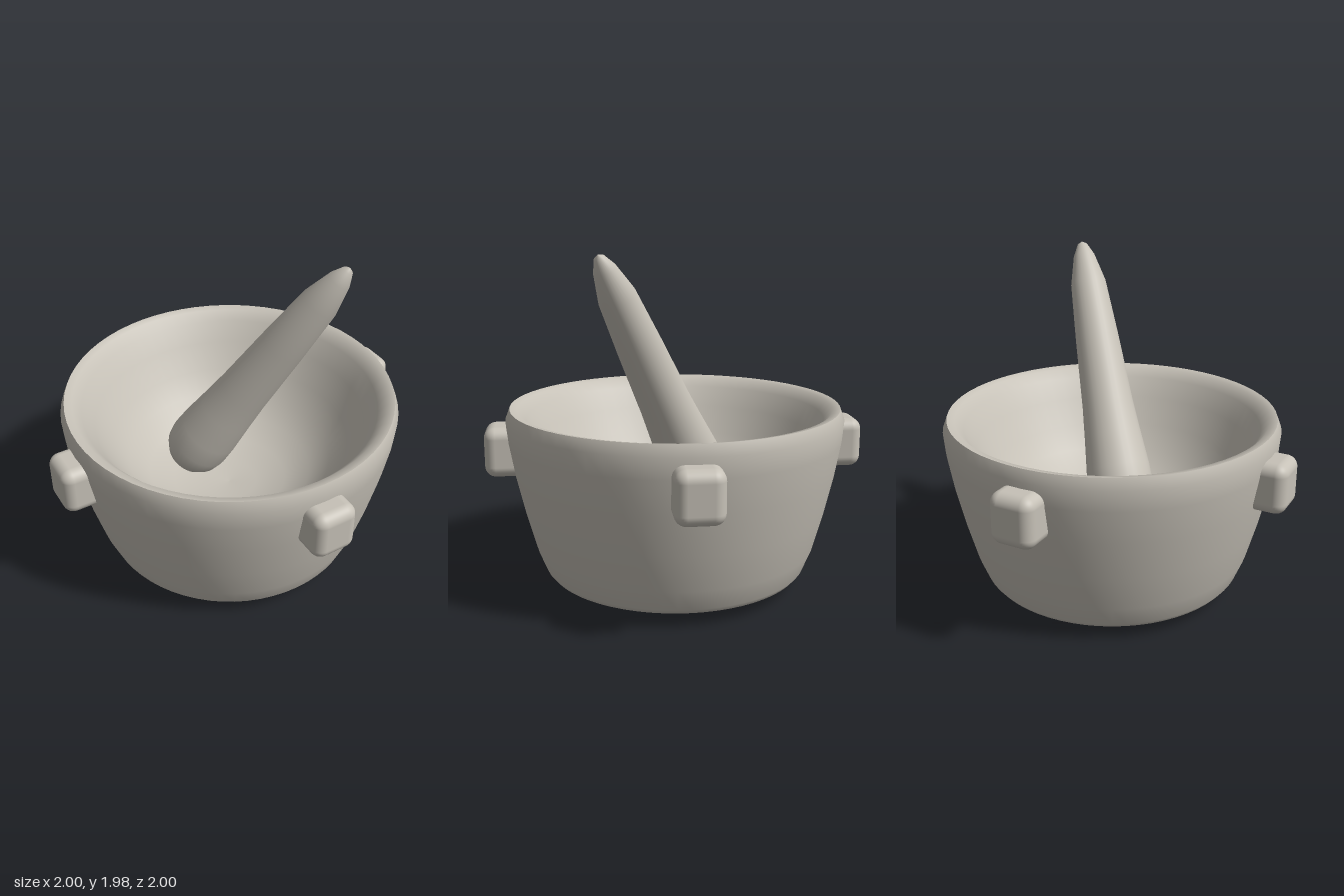
import * as THREE from 'three';
import { RoundedBoxGeometry } from 'three/addons/geometries/RoundedBoxGeometry.js';

const stone = new THREE.MeshStandardMaterial({ color: 0xc6c1b7 });
stone.name = 'stone';

function addMesh(parent, name, geometry) {
  const mesh = new THREE.Mesh(geometry, stone);
  mesh.name = name;
  parent.add(mesh);
  return mesh;
}

// Smooth turned shape from [radius, height] pairs
const turned = (pairs, sides) =>
  new THREE.LatheGeometry(pairs.map(([r, y]) => new THREE.Vector2(r, y)), sides);

export function createModel() {
  const model = new THREE.Group();
  model.name = 'mortarAndPestle';

  // Bowl: outside and hollow meet in a crisp edge at the rim
  const bowl = new THREE.Group();
  bowl.name = 'bowl';
  model.add(bowl);
  addMesh(bowl, 'bowlOutside', turned([
    [0, 0.005], [0.3, 0.008], [0.62, 0.03], [0.68, 0.048], [0.765, 0.085], [0.79, 0.115],
    [0.84, 0.24], [0.9, 0.46], [0.955, 0.7], [0.99, 0.9], [1, 1.02], [0.975, 1.085],
  ], 64));
  addMesh(bowl, 'bowlHollow', turned([
    [0.975, 1.085], [0.93, 1.075], [0.88, 1.02], [0.81, 0.9], [0.72, 0.74],
    [0.62, 0.6], [0.5, 0.49], [0.35, 0.41], [0.17, 0.37], [0, 0.36],
  ], 64));

  // Four pillowy lugs on the diagonals, below the rim
  for (let i = 0; i < 4; i++) {
    const arm = new THREE.Group();
    arm.name = 'lug' + (i + 1);
    arm.rotation.y = Math.PI / 4 + i * Math.PI / 2;
    const lug = addMesh(arm, 'lugBlock', new RoundedBoxGeometry(0.265, 0.295, 0.265, 5, 0.065));
    lug.position.set(0, 0.835, 0.992);
    model.add(arm);
  }

  // Pestle: thick round foot, tapering to a narrow tip, leaning to the left
  const pestle = addMesh(model, 'pestle', turned([
    [0, 0], [0.075, 0.013], [0.14, 0.055], [0.18, 0.12], [0.194, 0.2], [0.189, 0.33],
    [0.17, 0.53], [0.154, 0.72], [0.132, 1.14], [0.108, 1.5], [0.065, 1.68],
    [0.03, 1.755], [0, 1.775],
  ], 32));
  pestle.rotation.z = -0.563;
  pestle.position.set(-0.297, 0.483, 0);

  return model;
}
